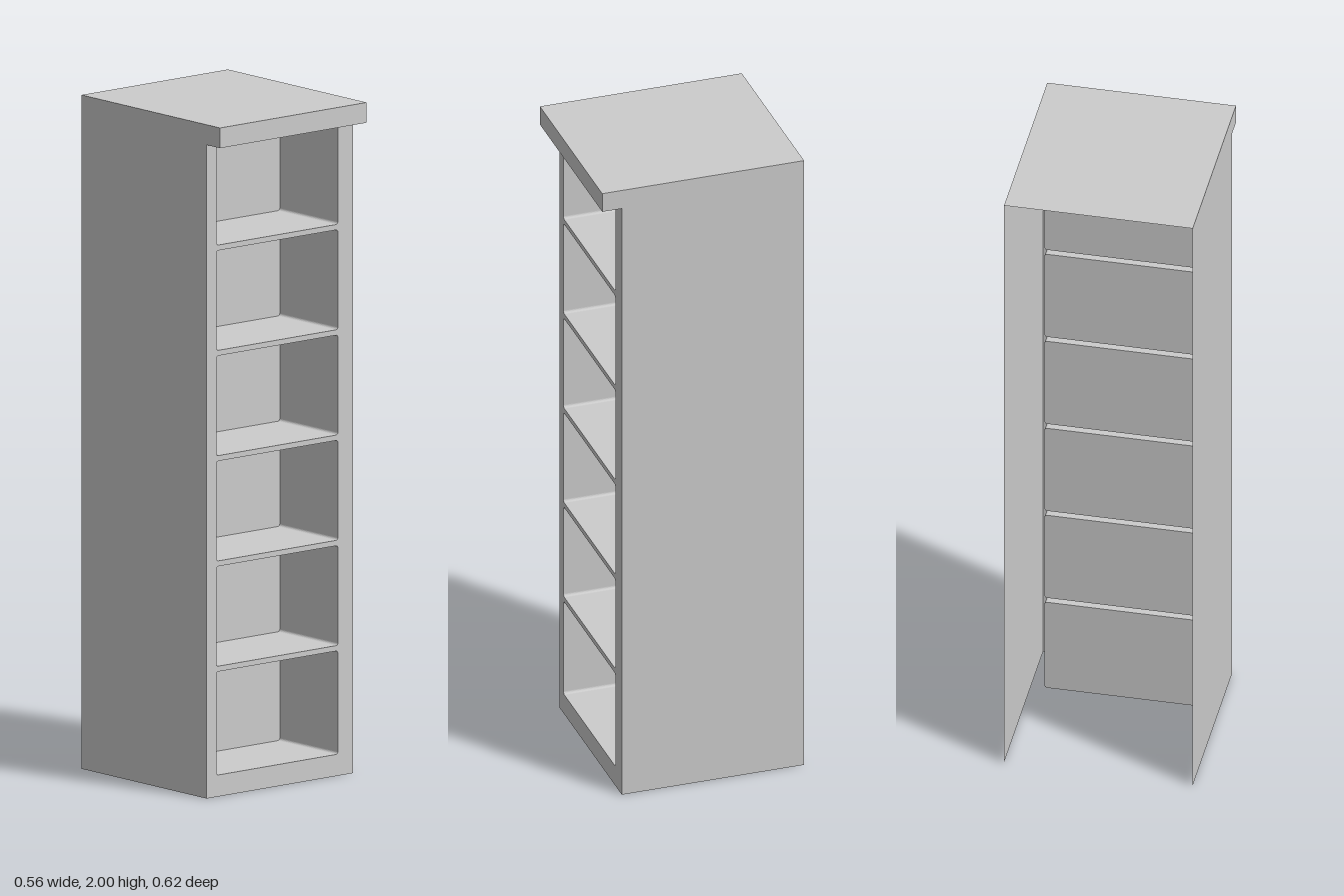
import * as THREE from 'three';

const HALF = 0.28, BACK = -0.31, FACE = 0.25, LIP = 0.31, TOP = 2, SOFFIT = 1.94;
const POCKET_BACK = -0.01, LEFT = -0.243, RIGHT = 0.222;

// Rounded outline of one compartment opening
function openingOutline(bottom, top, r = 0.008) {
  const s = new THREE.Shape();
  s.moveTo(LEFT + r, bottom);
  s.lineTo(RIGHT - r, bottom);
  s.absarc(RIGHT - r, bottom + r, r, -Math.PI / 2, 0, false);
  s.lineTo(RIGHT, top - r);
  s.absarc(RIGHT - r, top - r, r, 0, Math.PI / 2, false);
  s.lineTo(LEFT + r, top);
  s.absarc(LEFT + r, top - r, r, Math.PI / 2, Math.PI, false);
  s.lineTo(LEFT, bottom + r);
  s.absarc(LEFT + r, bottom + r, r, Math.PI, Math.PI * 1.5, false);
  return s;
}

// Thin wall that follows an outline from the face to the pocket's back
function wallAlong(outline) {
  const pts = outline.getPoints(3), pos = [];
  pts.forEach((a, i) => {
    const b = pts[(i + 1) % pts.length];
    if (a.distanceTo(b) < 1e-6) return;
    pos.push(a.x, a.y, FACE, a.x, a.y, POCKET_BACK, b.x, b.y, POCKET_BACK);
    pos.push(a.x, a.y, FACE, b.x, b.y, POCKET_BACK, b.x, b.y, FACE);
  });
  const g = new THREE.BufferGeometry();
  g.setAttribute('position', new THREE.Float32BufferAttribute(pos, 3));
  g.computeVertexNormals();
  return g;
}

export function createModel() {
  const group = new THREE.Group();
  const material = new THREE.MeshStandardMaterial({ color: 0xcccccc, side: THREE.DoubleSide });
  const add = (name, geometry, parent = group) => {
    const mesh = new THREE.Mesh(geometry, material);
    mesh.name = name;
    parent.add(mesh);
    return mesh;
  };

  // Side panels, with the projecting top lip (outline drawn in -z, y)
  const profile = new THREE.Shape([
    [-BACK, 0], [-BACK, TOP], [-LIP, TOP], [-LIP, SOFFIT], [-FACE, SOFFIT], [-FACE, 0],
  ].map(([x, y]) => new THREE.Vector2(x, y)));
  for (const side of [-1, 1]) {
    const g = new THREE.ShapeGeometry(profile).rotateY(Math.PI / 2);
    // the outward side is the front of each panel
    if (side < 0) g.scale(1, 1, -1).rotateY(Math.PI);
    add(side < 0 ? 'rightSidePanel' : 'leftSidePanel', g).position.x = side * HALF;
  }

  // Top panel, lip front and lip underside
  const width = 2 * HALF;
  add('topPanel', new THREE.PlaneGeometry(width, LIP - BACK).rotateX(-Math.PI / 2))
    .position.set(0, TOP, (LIP + BACK) / 2);
  add('lipFront', new THREE.PlaneGeometry(width, TOP - SOFFIT))
    .position.set(0, (TOP + SOFFIT) / 2, LIP);
  add('lipUnderside', new THREE.PlaneGeometry(width, LIP - FACE).rotateX(Math.PI / 2))
    .position.set(0, SOFFIT, (LIP + FACE) / 2);

  // Front frame with six openings, each leading into a closed compartment
  const frame = new THREE.Shape();
  frame.moveTo(-HALF, 0).lineTo(HALF, 0).lineTo(HALF, SOFFIT).lineTo(-HALF, SOFFIT);
  for (let i = 0; i < 6; i++) {
    const bottom = i === 0 ? 0.064 : 0.0745 + 0.3125 * i;
    const top = 0.371 + 0.3125 * i;
    const outline = openingOutline(bottom, top);
    frame.holes.push(outline);

    const compartment = new THREE.Group();
    compartment.name = `compartment${i + 1}`;
    add('compartmentWalls', wallAlong(outline), compartment);
    add('compartmentBack', new THREE.ShapeGeometry(outline, 3), compartment)
      .position.z = POCKET_BACK;
    group.add(compartment);
  }
  add('frontFrame', new THREE.ShapeGeometry(frame, 3)).position.z = FACE;

  return group;
}
